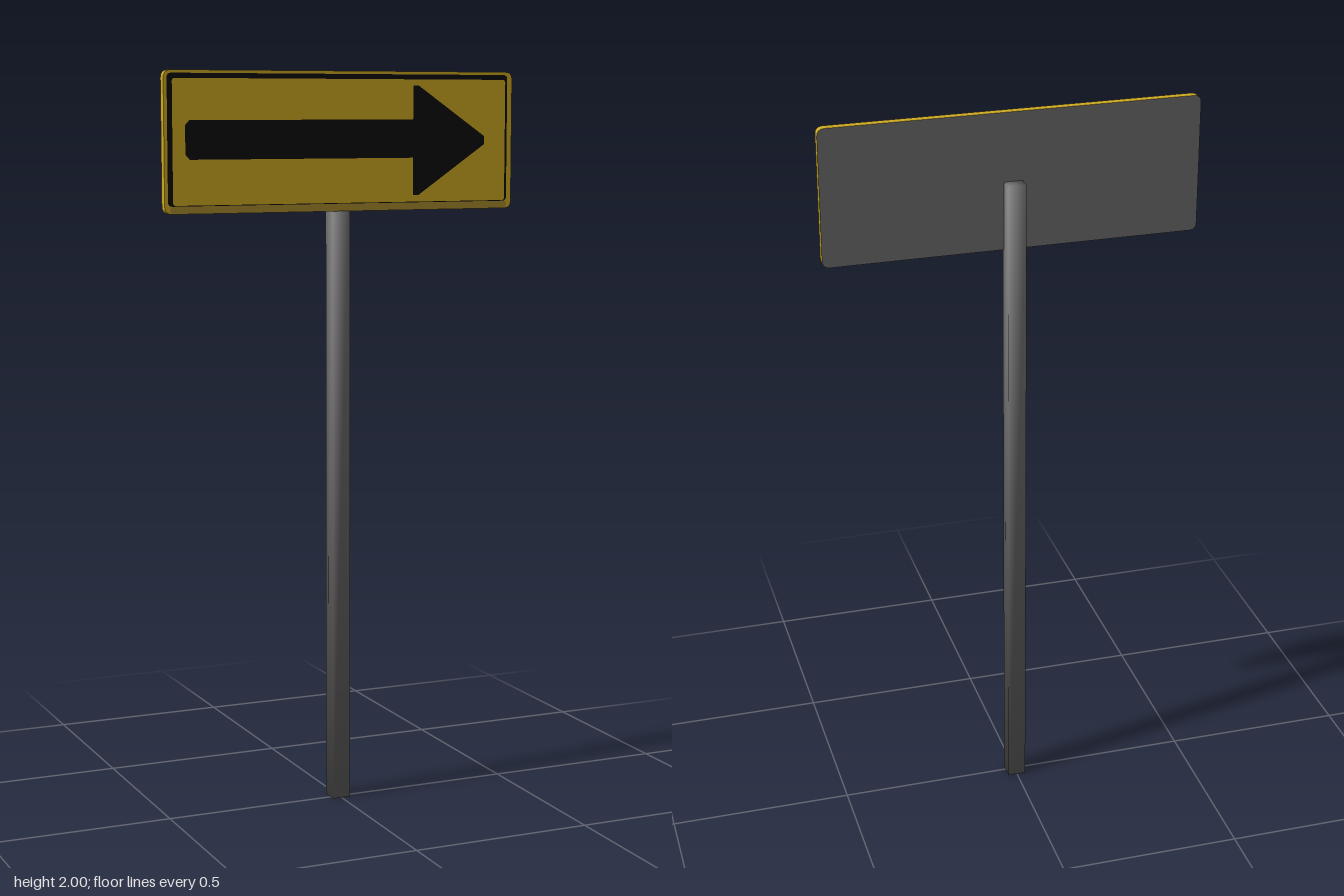
import * as THREE from 'three';

const mat = (name, color) => new THREE.MeshStandardMaterial({ name, color });

function roundedRect(x0, y0, x1, y1, r) {
  const s = new THREE.Shape();
  s.moveTo(x0 + r, y0);
  s.lineTo(x1 - r, y0);
  s.quadraticCurveTo(x1, y0, x1, y0 + r);
  s.lineTo(x1, y1 - r);
  s.quadraticCurveTo(x1, y1, x1 - r, y1);
  s.lineTo(x0 + r, y1);
  s.quadraticCurveTo(x0, y1, x0, y1 - r);
  s.lineTo(x0, y0 + r);
  s.quadraticCurveTo(x0, y0, x0 + r, y0);
  return s;
}

export function createModel() {
  const group = new THREE.Group();
  const yellow = mat('signYellow', 0xcfaa22);
  const shade = mat('wornYellow', 0xa88a2c);
  const black = mat('signBlack', 0x0a0a0a);
  const grey = mat('steelGrey', 0x666666);

  const add = (name, geometry, material, z = 0) => {
    const mesh = new THREE.Mesh(geometry, material);
    mesh.name = name;
    mesh.position.z = z;
    group.add(mesh);
    return mesh;
  };

  // Square post, with soft normals shared across its corners
  const H = 1.815;
  const postGeo = new THREE.BoxGeometry(0.05, H, 0.05);
  const p = postGeo.attributes.position;
  const n = new THREE.Vector3();
  for (let i = 0; i < p.count; i++) {
    n.set(Math.sign(p.getX(i)), Math.sign(p.getY(i)), Math.sign(p.getZ(i))).normalize();
    postGeo.attributes.normal.setXYZ(i, n.x, n.y, n.z);
  }
  postGeo.translate(0, H / 2, -0.007);
  add('post', postGeo, grey);

  // Sign panel with rounded corners
  const outline = roundedRect(-0.505, 1.63, 0.505, 2, 0.02);
  add('panel', new THREE.ExtrudeGeometry(outline, { depth: 0.022, bevelEnabled: false, curveSegments: 4 }), yellow, 0.008);

  // Grey back sheet
  const back = new THREE.ShapeGeometry(roundedRect(-0.505, 1.63, 0.505, 2, 0.02), 4);
  back.rotateY(Math.PI);
  add('panelBack', back, grey, 0.007);

  // Painted border: wider on the top and left, finer on the right
  const border = roundedRect(-0.496, 1.65, 0.49, 1.992, 0.012);
  border.holes.push(roundedRect(-0.482, 1.652, 0.484, 1.979, 0.008));
  add('border', new THREE.ShapeGeometry(border, 4), black, 0.031);

  // Worn strip along the lower edge
  add('lowerStrip', new THREE.ShapeGeometry(roundedRect(-0.49, 1.631, 0.49, 1.65, 0.008), 4), shade, 0.031);

  // Direction arrow
  const arrow = new THREE.Shape([
    [-0.447, 1.783], [-0.435, 1.77], [0.205, 1.77], [0.205, 1.67], [0.222, 1.67],
    [0.42, 1.805], [0.42, 1.827], [0.222, 1.962], [0.205, 1.962], [0.205, 1.872],
    [-0.435, 1.872], [-0.447, 1.859],
  ].map(([x, y]) => new THREE.Vector2(x, y)));
  add('arrow', new THREE.ShapeGeometry(arrow), black, 0.031);

  return group;
}
